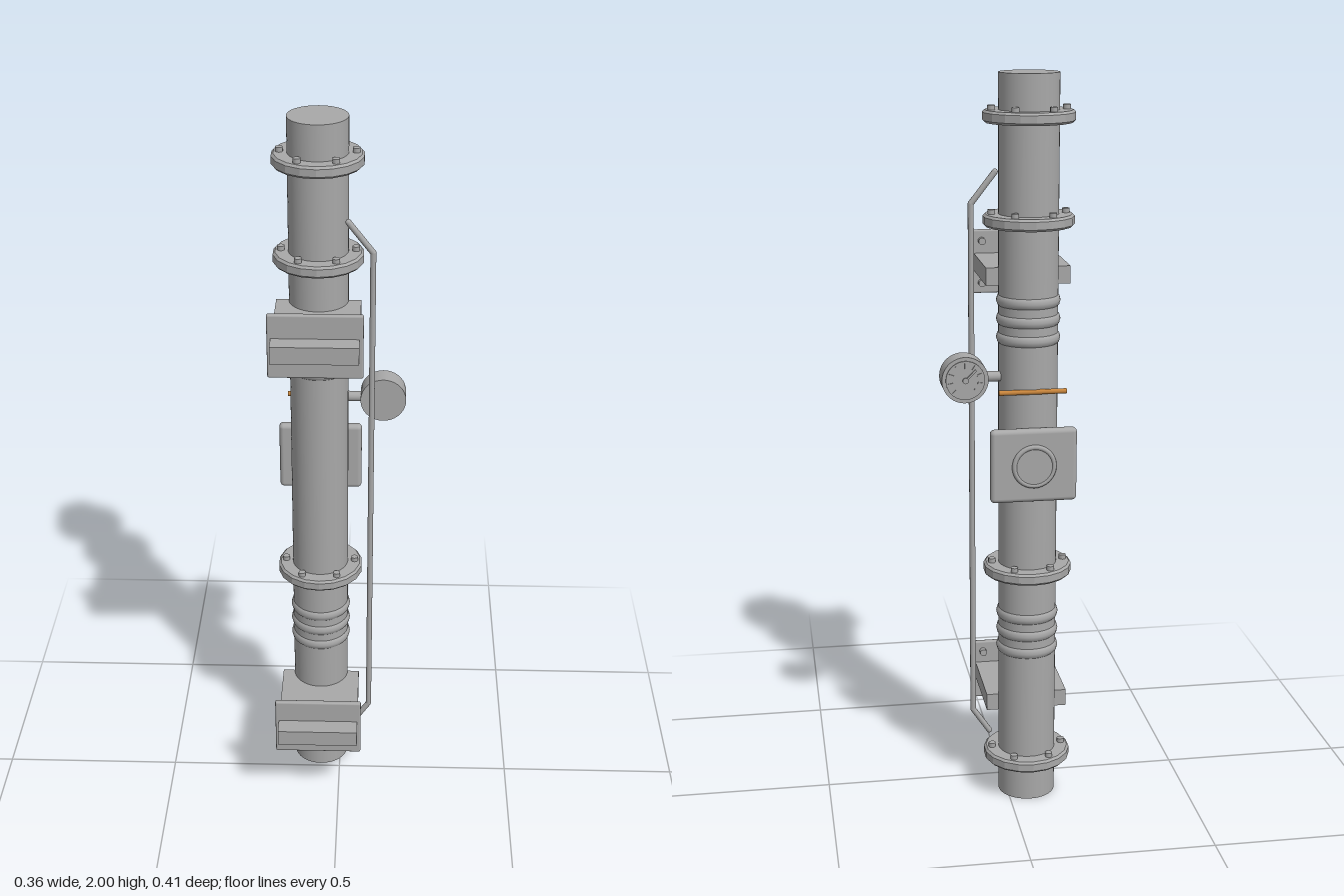
import * as THREE from 'three';
import { RoundedBoxGeometry } from 'three/addons/geometries/RoundedBoxGeometry.js';

const AX = -0.057, AZ = -0.09; // pipe axis

export function createModel() {
  const model = new THREE.Group();
  const steel = new THREE.MeshStandardMaterial({ color: 0xa8a8a8 });
  steel.name = 'grey steel';
  const copper = new THREE.MeshStandardMaterial({ color: 0xc8853c });
  copper.name = 'copper';

  const add = (name, geo, x, y, z, mat = steel, parent = model) => {
    const m = new THREE.Mesh(geo, mat);
    m.name = name;
    m.position.set(x, y, z);
    parent.add(m);
    return m;
  };
  const group = (name, x, y, z) => {
    const g = new THREE.Group();
    g.name = name;
    g.position.set(x, y, z);
    model.add(g);
    return g;
  };

  // Main pipe
  add('pipe', new THREE.CylinderGeometry(0.079, 0.079, 2, 40), AX, 1, AZ);

  // Flanges with chamfered rims and six bolts each
  const rim = [[0.07, -0.016], [0.114, -0.016], [0.12, -0.01], [0.12, 0.01], [0.114, 0.016], [0.07, 0.016]]
    .map(([r, y]) => new THREE.Vector2(r, y));
  const flangeGeo = new THREE.LatheGeometry(rim, 18).toNonIndexed();
  flangeGeo.computeVertexNormals();
  const boltGeo = new THREE.CylinderGeometry(0.01, 0.01, 0.02, 10);
  for (const y of [0.115, 0.67, 1.625, 1.89]) {
    const g = group('flange', AX, y, AZ);
    add('flangeRing', flangeGeo, 0, 0, 0, steel, g);
    for (let i = 0; i < 6; i++) {
      const a = i * Math.PI / 3;
      add('flangeBolt', boltGeo, 0.098 * Math.cos(a), 0.018, 0.098 * Math.sin(a), steel, g);
    }
  }

  // Expansion bellows
  const bellowGeo = new THREE.TorusGeometry(0.064, 0.021, 12, 40);
  for (const y of [0.49, 1.365]) {
    for (let i = -1; i <= 1; i++) {
      add('bellowsRing', bellowGeo, AX, y + i * 0.05, AZ).rotation.x = Math.PI / 2;
    }
  }

  // Wall brackets: arm, plate and four bolts behind the plate
  for (const y of [0.267, 1.477]) {
    const g = group('bracket', AX, y, 0);
    add('bracketArm', new THREE.BoxGeometry(0.225, 0.047, 0.295), 0, 0, 0.0575, steel, g);
    add('bracketPlate', new RoundedBoxGeometry(0.245, 0.175, 0.016, 2, 0.005), 0, 0, 0.146, steel, g);
    for (const sx of [-1, 1]) for (const sy of [-1, 1]) {
      add('bracketBolt', boltGeo, sx * 0.091, sy * 0.058, 0.132, steel, g).rotation.x = Math.PI / 2;
    }
  }

  // Rear hatch with round boss
  const hatch = group('hatch', -0.058, 0.985, -0.175);
  add('hatchPlate', new RoundedBoxGeometry(0.232, 0.2, 0.03, 3, 0.012), 0, 0, 0, steel, hatch);
  add('hatchDisc', new THREE.CylinderGeometry(0.048, 0.048, 0.012, 32), 0, 0, -0.016, steel, hatch).rotation.x = Math.PI / 2;
  add('hatchRing', new THREE.TorusGeometry(0.053, 0.007, 8, 32), 0, 0, -0.017, steel, hatch);

  // Copper rod across the back of the pipe
  add('copperRod', new THREE.CylinderGeometry(0.007, 0.007, 0.18, 12), AX, 1.182, -0.166, copper).rotation.z = Math.PI / 2;

  // Pressure gauge, dial facing backwards
  const gauge = group('gauge', 0.117, 1.212, -0.104);
  add('gaugeBody', new THREE.CylinderGeometry(0.062, 0.062, 0.06, 36), 0, 0, 0, steel, gauge).rotation.x = Math.PI / 2;
  add('gaugeStem', new THREE.CylinderGeometry(0.014, 0.014, 0.08, 16), -0.085, 0, 0.005, steel, gauge).rotation.z = Math.PI / 2;
  add('gaugeFace', new THREE.CylinderGeometry(0.052, 0.052, 0.006, 36), 0, 0, -0.031, steel, gauge).rotation.x = Math.PI / 2;
  for (let i = 0; i < 9; i++) {
    const a = -Math.PI / 4 + i * Math.PI * 3 / 16;
    const tick = add('gaugeTick', new THREE.BoxGeometry(0.014, 0.004, 0.005),
      0.04 * Math.cos(a), 0.04 * Math.sin(a), -0.035, steel, gauge);
    tick.rotation.z = a;
  }
  add('gaugeNeedle', new THREE.BoxGeometry(0.045, 0.005, 0.005), -0.012, 0.012, -0.036, steel, gauge).rotation.z = -Math.PI / 4;
  add('gaugeHub', new THREE.CylinderGeometry(0.008, 0.008, 0.008, 12), 0, 0, -0.036, steel, gauge).rotation.x = Math.PI / 2;

  // Bypass tube beside the pipe
  const pts = [[0.022, 1.742], [0.086, 1.66], [0.086, 0.22], [0.04, 0.152]]
    .map(([x, y]) => new THREE.Vector3(x, y, -0.028));
  for (let i = 0; i < 3; i++) {
    const line = new THREE.LineCurve3(pts[i], pts[i + 1]);
    add('bypassTube', new THREE.TubeGeometry(line, 1, 0.008, 10), 0, 0, 0);
  }
  // Rounded joints and ends of the tube
  for (const p of pts) add('bypassJoint', new THREE.SphereGeometry(0.008, 10, 8), p.x, p.y, p.z);

  return model;
}
